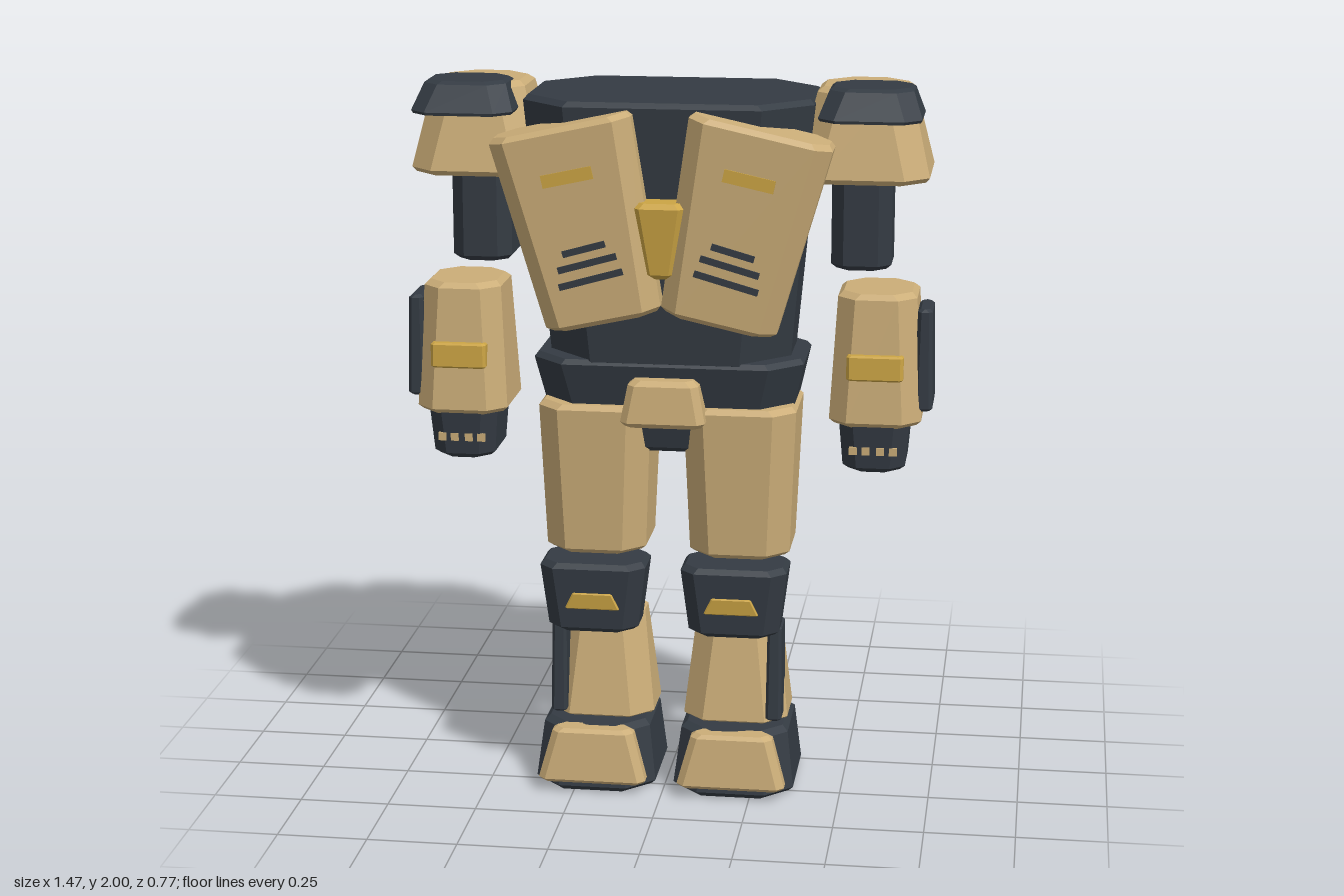
import * as THREE from 'three';

const tan = new THREE.MeshStandardMaterial({ color: 0xcbad78 });
tan.name = 'sand armour';
const dark = new THREE.MeshStandardMaterial({ color: 0x343b43 });
dark.name = 'dark frame';
const gold = new THREE.MeshStandardMaterial({ color: 0xcba444 });
gold.name = 'gold trim';

// Octagonal ring: a rectangle with cut corners
function ring(y, w, z0, z1, c) {
  const x = w / 2;
  return [
    [x, z0 + c], [x, z1 - c], [x - c, z1], [-x + c, z1],
    [-x, z1 - c], [-x, z0 + c], [-x + c, z0], [x - c, z0],
  ].map(([px, pz]) => new THREE.Vector3(px, y, pz));
}

// Tapered block with cut corners and bevelled ends; each end is [y, width, zBack, zFront]
function block(lo, hi, c, b = 0.014) {
  const at = (t, inset) => {
    const [y, w, z0, z1] = lo.map((v, i) => v + (hi[i] - v) * t);
    return ring(y, w - 2 * inset, z0 + inset, z1 - inset, c);
  };
  const t = b / (hi[0] - lo[0]);
  const rings = [at(0, b), at(t, 0), at(1 - t, 0), at(1, b)];
  const tris = [];
  for (let r = 0; r < 3; r++) {
    for (let i = 0; i < 8; i++) {
      const j = (i + 1) % 8;
      const [p, q] = [rings[r], rings[r + 1]];
      tris.push(p[i], q[i], p[j], p[j], q[i], q[j]);
    }
  }
  for (let i = 1; i < 7; i++) {
    tris.push(rings[0][0], rings[0][i], rings[0][i + 1]);
    tris.push(rings[3][0], rings[3][i + 1], rings[3][i]);
  }
  const geo = new THREE.BufferGeometry().setFromPoints(tris);
  geo.computeVertexNormals();
  return geo;
}

function add(parent, name, geo, mat, x = 0, y = 0, z = 0) {
  const mesh = new THREE.Mesh(geo, mat);
  mesh.name = name;
  mesh.position.set(x, y, z);
  parent.add(mesh);
  return mesh;
}

function group(parent, name) {
  const g = new THREE.Group();
  g.name = name;
  parent.add(g);
  return g;
}

function buildTorso(model) {
  const torso = group(model, 'torso');
  add(torso, 'chest', block([1.22, 0.67, -0.18, 0.25], [1.96, 0.8, -0.23, 0.305], 0.13), dark);
  add(torso, 'pelvis', block([0.97, 0.64, -0.12, 0.2], [1.24, 0.76, -0.165, 0.26], 0.09), dark);
  add(torso, 'crotchPlate', block([1.065, 0.24, 0.2, 0.315], [1.195, 0.19, 0.2, 0.3], 0.02), tan);
  add(torso, 'chestCrest', block([1.49, 0.075, 0.25, 0.35], [1.7, 0.14, 0.25, 0.37], 0.015), gold);
  add(torso, 'backpack', block([1.355, 0.52, -0.355, -0.14], [1.865, 0.46, -0.335, -0.14], 0.07), tan);

  for (const s of [-1, 1]) {
    // Angled chest plate with its vents and badge
    const plate = group(torso, 'chestPlate');
    plate.position.set(s * 0.214, 1.634, 0);
    plate.rotation.z = -s * 0.216;
    add(plate, 'chestArmour', block([-0.275, 0.32, 0.22, 0.365], [0.275, 0.395, 0.2, 0.385], 0.045), tan);
    [[-0.06, 0.12], [-0.1, 0.165], [-0.145, 0.18]].forEach(([y, w]) => {
      const vent = add(plate, 'chestVent', new THREE.BoxGeometry(w, 0.018, 0.009), dark, 0, y, 0.376 + y * 0.036);
      vent.rotation.z = -s * 0.06;
    });
    add(plate, 'chestBadge', new THREE.BoxGeometry(0.14, 0.035, 0.009), gold, 0, 0.14, 0.38);

    // Exhaust bars on the backpack
    for (const y of [1.487, 1.585, 1.683]) {
      const bar = add(torso, 'exhaustBar', new THREE.CapsuleGeometry(0.014, 0.12, 4, 10), gold, s * 0.124, y, -0.37);
      bar.rotation.z = Math.PI / 2;
    }
  }
}

function buildArm(model, s) {
  const arm = group(model, s > 0 ? 'leftArm' : 'rightArm');
  add(arm, 'shoulder', block([1.74, 0.37, -0.16, 0.24], [1.99, 0.25, -0.09, 0.19], 0.065), tan, s * 0.53);
  add(arm, 'shoulderCap', block([1.915, 0.285, 0.04, 0.305], [2.0, 0.22, 0.05, 0.24], 0.045, 0.008), dark, s * 0.553);
  add(arm, 'upperArm', block([1.49, 0.165, -0.03, 0.16], [1.78, 0.165, -0.03, 0.16], 0.035), dark, s * 0.527);
  add(arm, 'forearm', block([1.07, 0.255, -0.06, 0.25], [1.437, 0.215, -0.03, 0.22], 0.05), tan, s * 0.577);
  add(arm, 'forearmBand', block([1.205, 0.155, 0.2, 0.258], [1.275, 0.155, 0.2, 0.255], 0.008, 0.005), gold, s * 0.577);
  add(arm, 'forearmPlate', block([1.11, 0.05, 0.025, 0.2], [1.395, 0.04, 0.045, 0.19], 0.01, 0.008), dark, s * 0.708);
  add(arm, 'hand', block([0.938, 0.17, -0.01, 0.225], [1.09, 0.195, -0.015, 0.24], 0.04), dark, s * 0.575);
  for (const x of [-0.055, -0.02, 0.02, 0.055]) {
    add(arm, 'knuckle', new THREE.BoxGeometry(0.022, 0.022, 0.01), tan, s * 0.575 + x, 1.002, 0.23);
  }
}

function buildLeg(model, s) {
  const leg = group(model, s > 0 ? 'leftLeg' : 'rightLeg');
  add(leg, 'thigh', block([0.675, 0.28, -0.062, 0.237], [1.11, 0.315, -0.09, 0.26], 0.06), tan, s * 0.203);
  add(leg, 'knee', block([0.468, 0.25, 0.145, 0.312], [0.67, 0.3, 0.125, 0.325], 0.04), dark, s * 0.198);
  add(leg, 'kneeBadge', block([0.54, 0.155, 0.29, 0.323], [0.587, 0.11, 0.29, 0.326], 0.004, 0.003), gold, s * 0.195);
  add(leg, 'shin', block([0.175, 0.3, -0.05, 0.22], [0.49, 0.23, -0.01, 0.17], 0.06), tan, s * 0.192);
  add(leg, 'shinGuard', block([0.2, 0.045, 0.11, 0.235], [0.475, 0.04, 0.11, 0.218], 0.008, 0.006), dark, s * 0.307);
  add(leg, 'foot', block([0, 0.345, -0.07, 0.335], [0.185, 0.3, -0.06, 0.305], 0.075), dark, s * 0.197);
  add(leg, 'toeCap', block([0.03, 0.31, 0.28, 0.355], [0.185, 0.225, 0.265, 0.335], 0.02, 0.01), tan, s * 0.197);
}

export function createModel() {
  const model = new THREE.Group();
  model.name = 'armouredRobot';
  buildTorso(model);
  for (const s of [-1, 1]) {
    buildArm(model, s);
    buildLeg(model, s);
  }
  return model;
}
